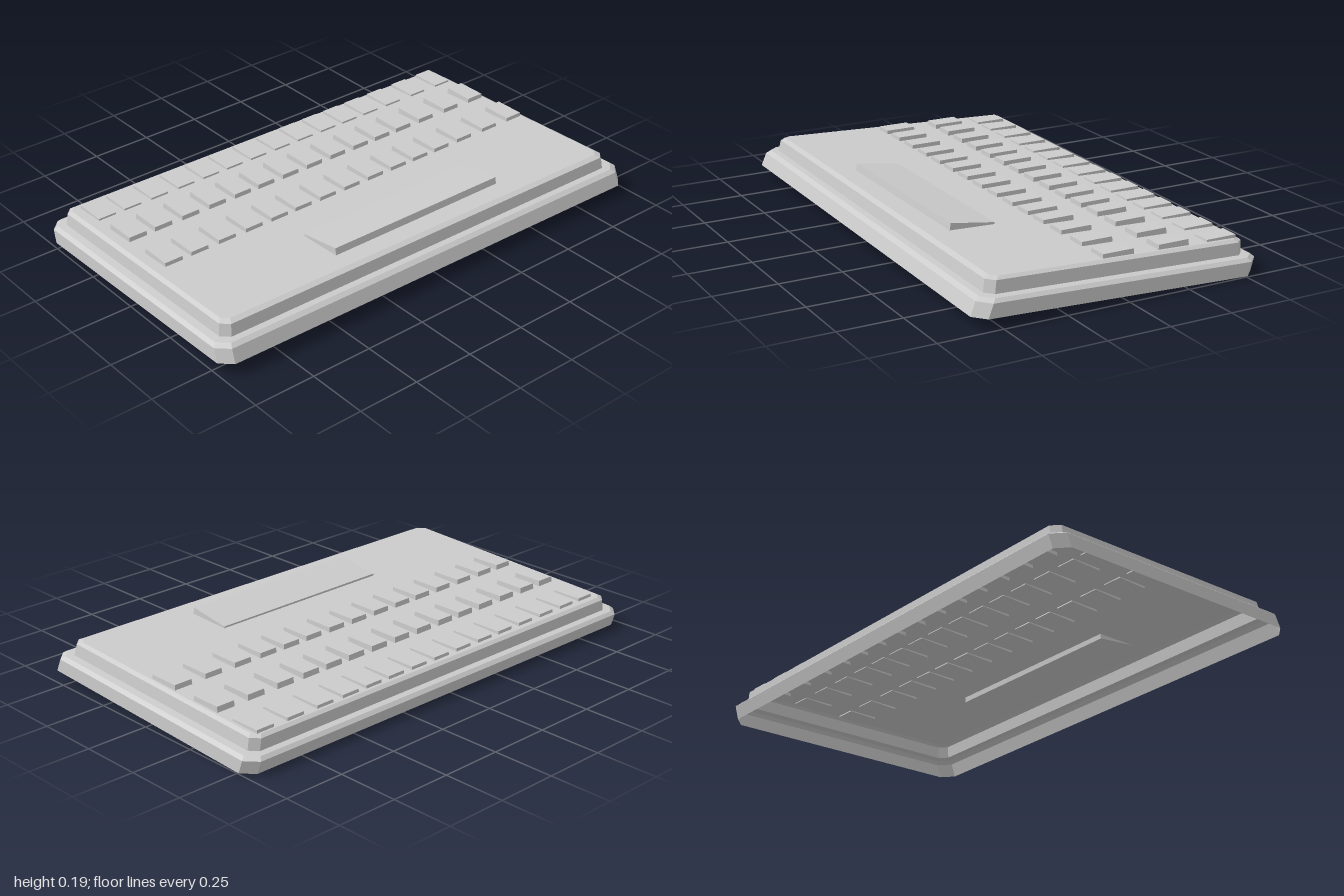
import * as THREE from 'three';

const material = new THREE.MeshStandardMaterial({ color: 0xcccccc, flatShading: true, side: THREE.DoubleSide });

// Rectangle with chamfered corners, as eight points at one height
function ring({ y, hx, hz, c, zc }) {
  return [
    [hx, hz - c], [hx, -hz + c], [hx - c, -hz], [-hx + c, -hz],
    [-hx, -hz + c], [-hx, hz - c], [-hx + c, hz], [hx - c, hz],
  ].map(([x, z]) => [x, y, z + zc]);
}

// Skin a stack of rings from bottom to top and close the last one
function loft(sections) {
  const n = 8;
  const points = sections.flatMap(ring);
  const index = [];
  for (let s = 0; s < sections.length - 1; s++) {
    for (let i = 0; i < n; i++) {
      const a = s * n + i, b = s * n + (i + 1) % n;
      index.push(a, b, b + n, a, b + n, a + n);
    }
  }
  const last = (sections.length - 1) * n;
  for (let i = 1; i < n - 1; i++) index.push(last, last + i, last + i + 1);
  const geometry = new THREE.BufferGeometry();
  geometry.setAttribute('position', new THREE.Float32BufferAttribute(points.flat(), 3));
  geometry.setIndex(index);
  geometry.computeVertexNormals();
  return geometry;
}

// Box whose top is slightly smaller than its base
function keyGeometry(w, h, d, inset) {
  const geometry = new THREE.BoxGeometry(w, h, d);
  const p = geometry.attributes.position;
  for (let i = 0; i < p.count; i++) {
    if (p.getY(i) > 0) {
      p.setX(i, p.getX(i) - Math.sign(p.getX(i)) * inset);
      p.setZ(i, p.getZ(i) - Math.sign(p.getZ(i)) * inset);
    }
  }
  geometry.computeVertexNormals();
  return geometry;
}

export function createModel() {
  const model = new THREE.Group();
  model.name = 'keyboard';

  // Hollow stepped housing, open underneath and raised at the front
  const housing = new THREE.Mesh(loft([
    { y: 0, hx: 0.993, hz: 0.574, c: 0.045, zc: 0.013 },
    { y: 0.052, hx: 0.99, hz: 0.572, c: 0.045, zc: -0.004 },
    { y: 0.064, hx: 0.975, hz: 0.556, c: 0.04, zc: -0.006 },
    { y: 0.066, hx: 0.945, hz: 0.53, c: 0.03, zc: -0.006 },
    { y: 0.112, hx: 0.938, hz: 0.526, c: 0.03, zc: -0.009 },
    { y: 0.121, hx: 0.922, hz: 0.508, c: 0.025, zc: -0.012 },
  ]), material);
  housing.name = 'housing';
  housing.position.y = 0.0245;
  housing.rotation.set(-0.037, -0.01, -0.004);
  model.add(housing);

  // Three stepped rows of keys
  const columns = [-0.84, -0.725, -0.6, -0.475, -0.355, -0.24, -0.12, 0,
    0.12, 0.24, 0.355, 0.47, 0.595, 0.735, 0.875];
  const rows = [
    { name: 'frontRow', z: -0.005, top: 0.163, height: 0.024 },
    { name: 'middleRow', z: -0.237, top: 0.157, height: 0.026 },
    { name: 'backRow', z: -0.444, top: 0.139, height: 0.022 },
  ];
  for (const { name, z, top, height } of rows) {
    const row = new THREE.Group();
    row.name = name;
    row.rotation.z = -0.004;
    const geometry = keyGeometry(0.08, height, 0.13, 0.002);
    for (const x of columns) {
      const key = new THREE.Mesh(geometry, material);
      key.name = 'key';
      key.position.set(x, top - height / 2, z);
      row.add(key);
    }
    model.add(row);
  }

  // Wide bar tipped up towards the front
  const spaceBar = new THREE.Mesh(keyGeometry(0.805, 0.028, 0.184, 0.001), material);
  spaceBar.name = 'spaceBar';
  spaceBar.position.set(0.035, 0.161, 0.315);
  spaceBar.rotation.set(-0.145, 0, -0.006);
  model.add(spaceBar);

  return model;
}
